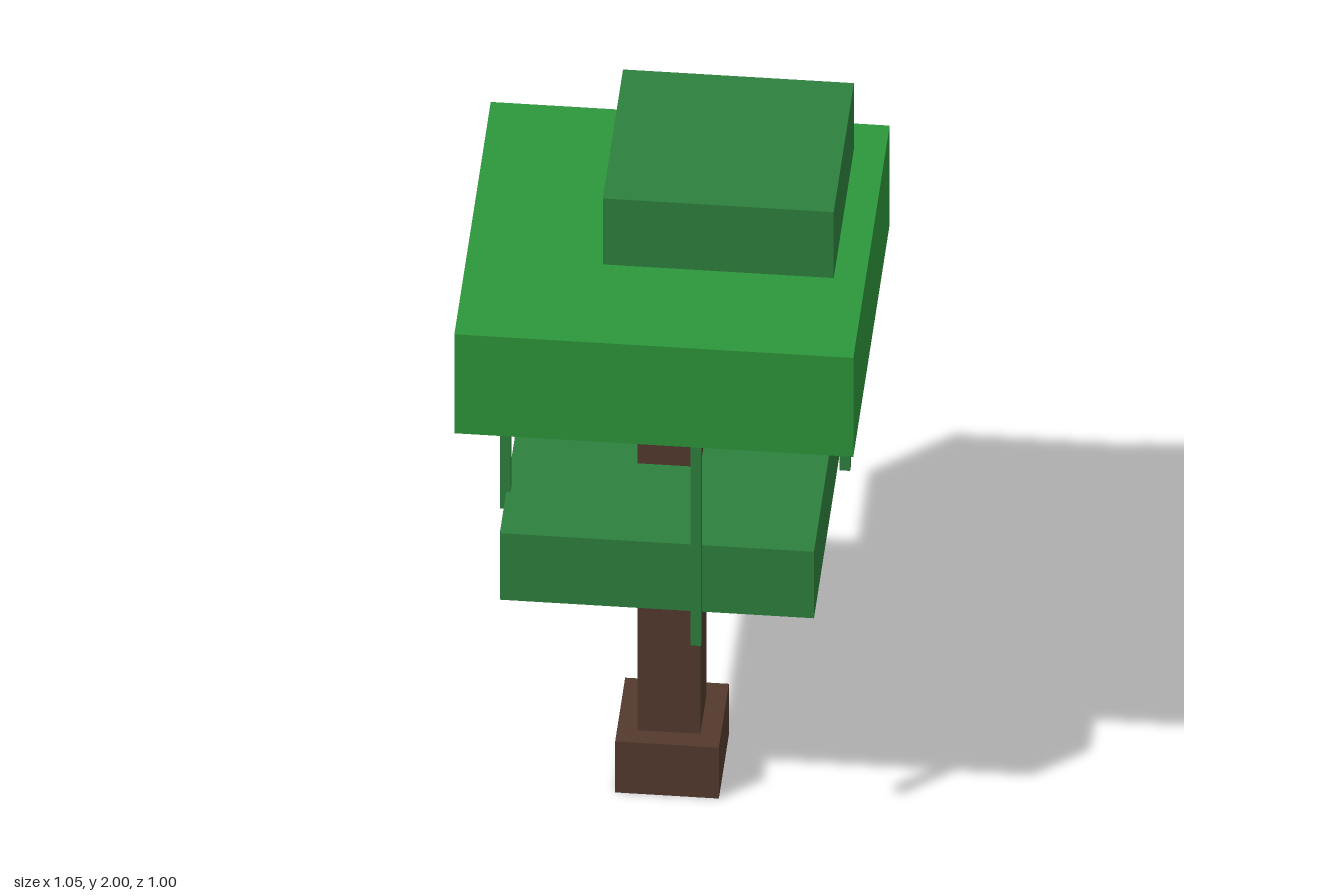
import * as THREE from 'three';

// Box between two corners, hollow and open underneath
function openBox(name, material, [x0, x1], [y0, y1], [z0, z1]) {
  const geometry = new THREE.BoxGeometry(x1 - x0, y1 - y0, z1 - z0);
  const index = Array.from(geometry.index.array);
  index.splice(18, 6); // drop the bottom face
  geometry.setIndex(index);
  geometry.clearGroups();
  const mesh = new THREE.Mesh(geometry, material);
  mesh.position.set((x0 + x1) / 2, (y0 + y1) / 2, (z0 + z1) / 2);
  mesh.name = name;
  return mesh;
}

function makeMaterial(name, color) {
  const material = new THREE.MeshStandardMaterial({ color, side: THREE.DoubleSide });
  material.name = name;
  return material;
}

export function createModel() {
  const bark = makeMaterial('bark brown', 0x533a2d);
  const leaf = makeMaterial('leaf green', 0x2d963a);
  const darkLeaf = makeMaterial('dark leaf green', 0x2e813e);

  const tree = new THREE.Group();
  tree.name = 'blockTree';
  const span = (r, c = 0) => [c - r, c + r];

  // Trunk and its wider foot
  tree.add(openBox('trunkBase', bark, span(0.137), [0, 0.17], span(0.137)));
  tree.add(openBox('trunk', bark, span(0.083), [0.02, 1.47], span(0.083)));

  // Three tiers of foliage
  tree.add(openBox('lowerFoliage', darkLeaf, span(0.415), [0.838, 1.06], span(0.415)));
  tree.add(openBox('mainFoliage', leaf, span(0.527), [1.45, 1.78], span(0.499)));
  tree.add(openBox('topFoliage', darkLeaf, [-0.167, 0.443], [1.76, 2], [-0.39, 0.164]));

  // Vines hanging below the main foliage: x, z, lower end
  const vines = [[-0.418, 0.225, 1.005], [0.11, 0.476, 0.782], [0.442, -0.165, 0.893]];
  for (const [x, z, y] of vines) {
    tree.add(openBox('vine', darkLeaf, span(0.014, x), [y, 1.452], span(0.014, z)));
  }
  return tree;
}
